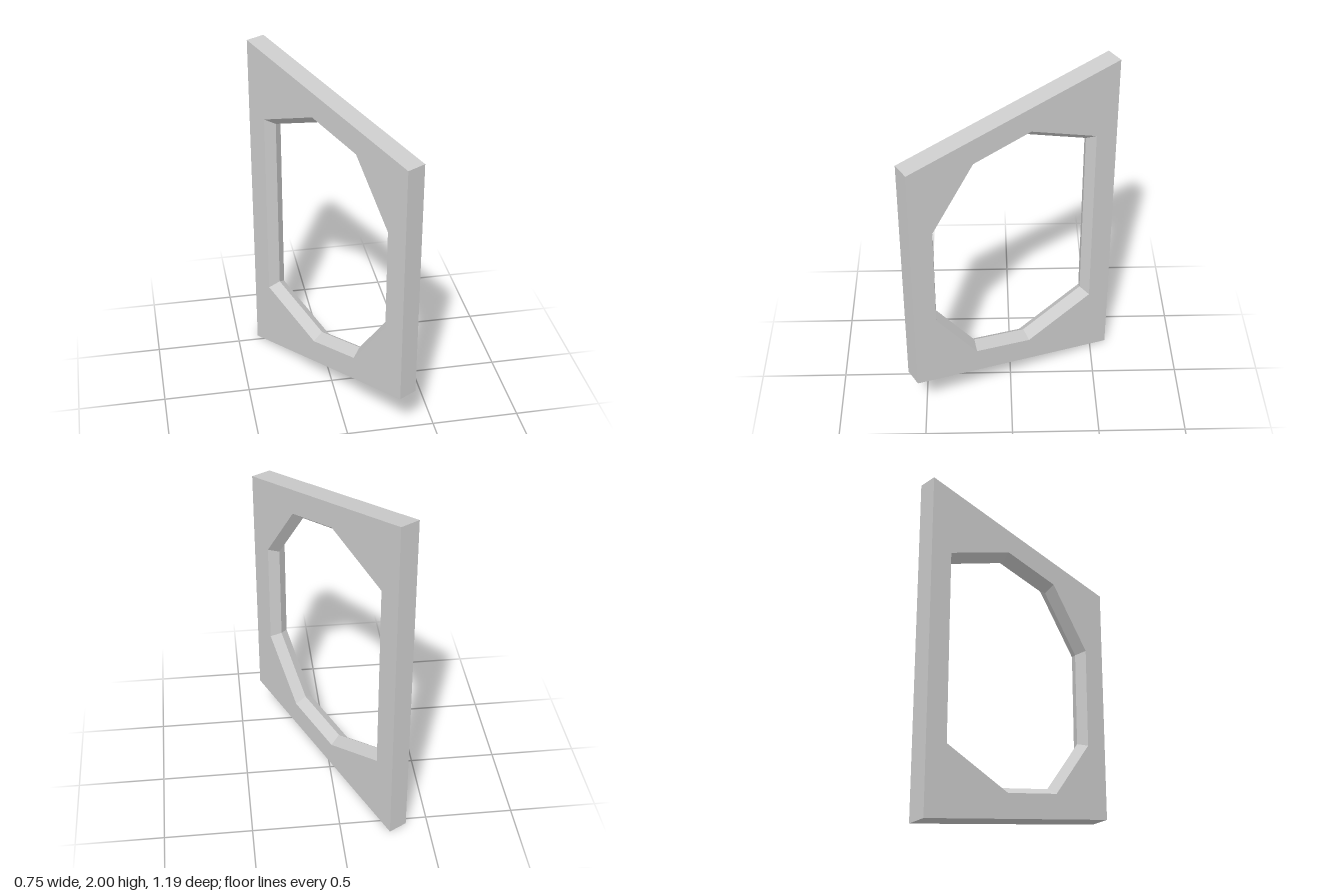
import * as THREE from 'three';

const HALF_THICKNESS = 0.058;
const v = (x, y) => new THREE.Vector2(x, y);

// Adds the lower half of an outline that is symmetric about y = 0
const mirrorDown = (half) => [...half, ...half.map((p) => v(p.x, -p.y)).reverse()];

export function createModel() {
  // Tapered panel outline (counter-clockwise) and eight-sided opening (clockwise)
  const outer = mirrorDown([v(-0.654, 1), v(0.654, 0.717)]).reverse();
  const rim = mirrorDown([v(-0.518, 0.565), v(-0.095, 0.735), v(0.262, 0.655), v(0.518, 0.302)]);
  // The opening narrows to a ridge halfway through the panel
  const ridge = rim.map((p) => p.clone().multiplyScalar(0.94));

  const positions = [];
  const add = (p, z) => positions.push(p.x, p.y, z);

  // Strip of quads joining two loops
  const strip = (a, za, b, zb) => a.forEach((p, i) => {
    const j = (i + 1) % a.length;
    add(p, za); add(a[j], za); add(b[j], zb);
    add(p, za); add(b[j], zb); add(b[i], zb);
  });

  // Front and back faces
  const points = [...outer, ...rim];
  for (const [a, b, c] of THREE.ShapeUtils.triangulateShape(outer, [rim])) {
    for (const i of [a, b, c]) add(points[i], HALF_THICKNESS);
    for (const i of [c, b, a]) add(points[i], -HALF_THICKNESS);
  }

  // Outer edges, then the two bevels of the opening
  strip(outer, -HALF_THICKNESS, outer, HALF_THICKNESS);
  strip(rim, -HALF_THICKNESS, ridge, 0);
  strip(ridge, 0, rim, HALF_THICKNESS);

  const geometry = new THREE.BufferGeometry();
  geometry.setAttribute('position', new THREE.Float32BufferAttribute(positions, 3));
  geometry.computeVertexNormals();

  const panel = new THREE.Mesh(
    geometry,
    new THREE.MeshStandardMaterial({ color: 0xcccccc, flatShading: true })
  );
  panel.name = 'framePanel';
  panel.position.y = 1;
  panel.rotation.y = -Math.PI / 3;

  const group = new THREE.Group();
  group.name = 'windowFrame';
  group.add(panel);
  return group;
}
